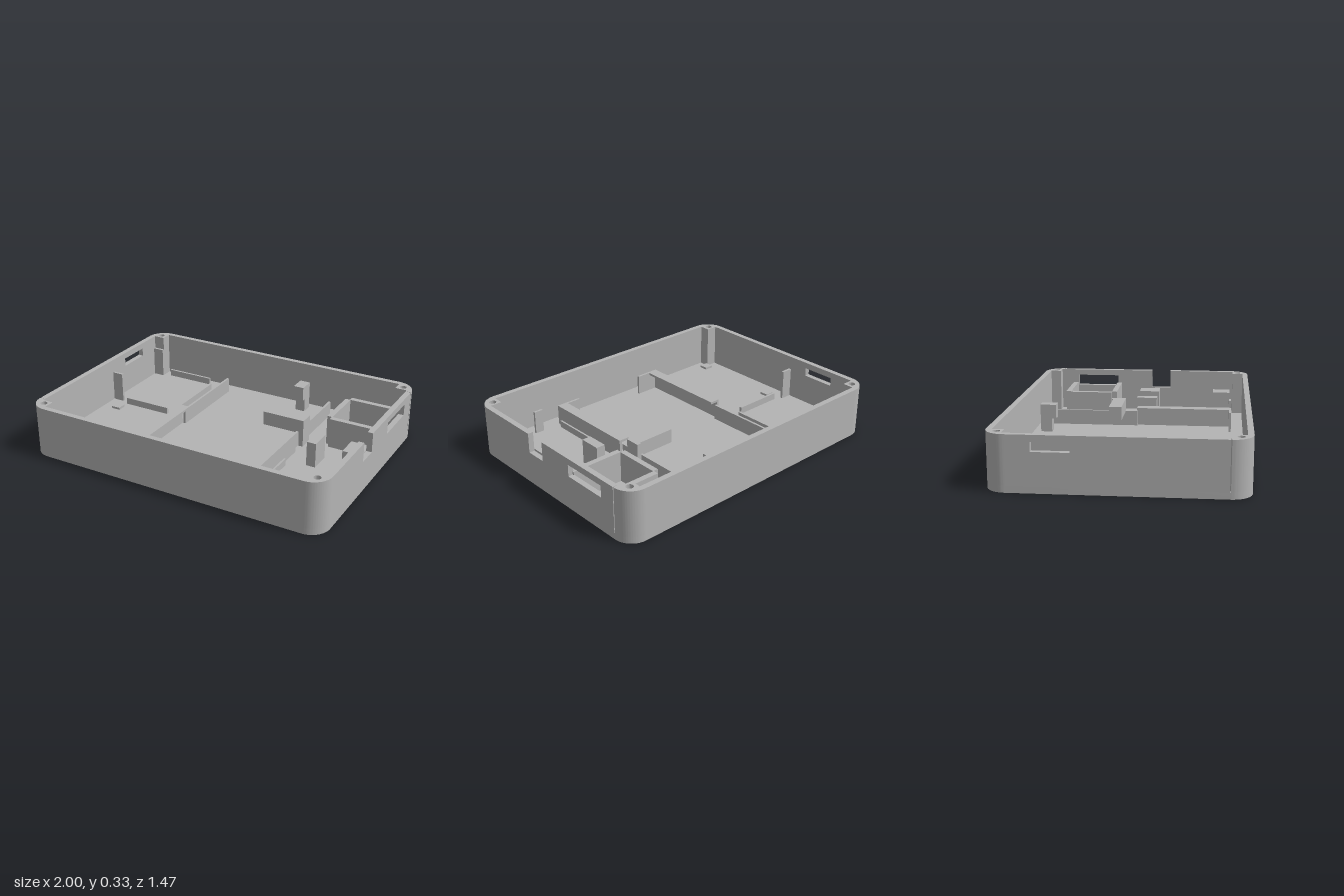
import * as THREE from 'three';
import { toCreasedNormals } from 'three/addons/utils/BufferGeometryUtils.js';

const TOP = 0.33, FLOOR = 0.04, W = 1, D = 0.735, R = 0.12, WALL = 0.035, SEAM = 0.61;

export function createModel() {
  const group = new THREE.Group();
  const grey = new THREE.MeshStandardMaterial({ color: 0xb4b4b4 });
  grey.name = 'grey plastic';

  const add = (name, geometry) => {
    const mesh = new THREE.Mesh(geometry, grey);
    mesh.name = name;
    group.add(mesh);
    return mesh;
  };
  // box given by its limits, standing on the floor unless a base is given
  const block = (name, x0, x1, z0, z1, y1, y0 = FLOOR - 0.005) => {
    const g = new THREE.BoxGeometry(x1 - x0, y1 - y0, z1 - z0);
    g.translate((x0 + x1) / 2, (y0 + y1) / 2, (z0 + z1) / 2);
    return add(name, g);
  };
  // plan outline extruded upwards
  const raise = (shape, y0, y1) => {
    const g = new THREE.ExtrudeGeometry(shape, { depth: y1 - y0, bevelEnabled: false, curveSegments: 14 });
    g.rotateX(-Math.PI / 2).translate(0, y0, 0);
    return toCreasedNormals(g, 0.5);
  };
  const rectPath = (Type, a0, b0, a1, b1) =>
    new Type([[a0, b0], [a1, b0], [a1, b1], [a0, b1]].map(p => new THREE.Vector2(...p)));

  // bottom slab with rounded corners
  const base = new THREE.Shape();
  base.absarc(W - R, D - R, R, 0, Math.PI / 2);
  base.absarc(R - W, D - R, R, Math.PI / 2, Math.PI);
  base.absarc(R - W, R - D, R, Math.PI, Math.PI * 1.5);
  base.absarc(W - R, R - D, R, Math.PI * 1.5, Math.PI * 2);
  base.closePath();
  add('floor', raise(base, 0, FLOOR));

  // end walls with corner posts and screw holes
  const end = new THREE.Shape();
  end.moveTo(W, SEAM);
  end.absarc(W - R, D - R, R, 0, Math.PI / 2);
  end.absarc(R - W, D - R, R, Math.PI / 2, Math.PI);
  const inner = [[-W, SEAM], [WALL - W, SEAM], [WALL - W, 0.63], [-0.89, 0.63], [-0.89, 0.7],
    [0.89, 0.7], [0.89, 0.63], [W - WALL, 0.63], [W - WALL, SEAM]];
  inner.forEach(p => end.lineTo(...p));
  end.closePath();
  for (const s of [-1, 1]) {
    const hole = new THREE.Path();
    hole.absarc(s * 0.93, 0.665, 0.022, 0, Math.PI * 2);
    end.holes.push(hole);
  }
  add('backWall', raise(end, FLOOR, TOP));
  add('frontWall', raise(end, FLOOR, TOP)).rotation.y = Math.PI;

  // side walls, drawn in z and y, with their openings
  const sideWall = (name, shape, xOuter) => {
    const g = new THREE.ExtrudeGeometry(shape, { depth: WALL, bevelEnabled: false });
    g.rotateY(-Math.PI / 2).translate(xOuter, 0, 0);
    add(name, g);
  };
  const left = new THREE.Shape([[-SEAM, FLOOR], [SEAM, FLOOR], [SEAM, TOP], [0.175, TOP], [0.175, 0.205],
    [0.04, 0.205], [0.04, TOP], [-SEAM, TOP]].map(p => new THREE.Vector2(...p)));
  left.holes.push(rectPath(THREE.Path, -0.505, 0.215, -0.21, 0.29));
  sideWall('leftWall', left, W);
  const right = rectPath(THREE.Shape, -SEAM, FLOOR, SEAM, TOP);
  right.holes.push(rectPath(THREE.Path, -0.467, 0.235, -0.25, 0.29));
  sideWall('rightWall', right, WALL - W);

  // small board bay beside the right window
  for (const z of [-0.63, -0.12]) block('bayFin', -0.97, -0.89, z, z + 0.017, 0.24);
  for (const z of [-0.655, -0.092]) block('bayRidge', -0.84, -0.51, z, z + 0.015, 0.085);
  block('bayRidge', -0.465, -0.45, -0.57, -0.125, 0.085);

  // low support pads
  for (const x of [-0.86, -0.41])
    for (const z of [0, 0.612]) block('pad', x - 0.03, x + 0.03, z - 0.03, z + 0.03, 0.055);

  // pair of long rails with flanged holders facing each other
  const rail = (name, xRail, xOut, xIn, xToe) => {
    const span = (part, a, b, ...rest) => block(name + part, Math.min(a, b), Math.max(a, b), ...rest);
    const wall = xOut + Math.sign(xIn - xOut) * 0.016;
    span('Divider', xRail, xRail + 0.015, -0.605, -0.02, 0.14);
    span('HolderWall', xOut, wall, -0.02, 0.62, 0.17);
    span('HolderFlange', wall, xIn, -0.02, 0.62, 0.17, 0.155);
    span('HolderToe', wall, xToe, 0.605, 0.62, 0.17);
  };
  rail('right', -0.342, -0.365, -0.295, -0.2);
  rail('left', 0.443, 0.48, 0.41, 0.315);

  // raised board rests on posts
  block('restBlock', 0.21, 0.28, -0.65, -0.545, 0.225, 0.13);
  block('restPost', 0.215, 0.28, -0.65, -0.575, 0.13);
  block('restBar', 0.21, 0.49, -0.19, -0.105, 0.22, 0.13);
  block('barPost', 0.46, 0.49, -0.2, -0.105, 0.22);

  // socket frame behind the left slot
  block('socketBack', 0.6, 0.635, -0.51, -0.22, 0.235);
  for (const z of [-0.545, -0.22]) block('socketArm', 0.63, 0.97, z, z + 0.035, 0.235);

  // pillars and guides near the left notch
  block('pillar', 0.84, 0.958, -0.04, 0.1, 0.2);
  block('pillar', 0.84, 0.958, 0.49, 0.61, 0.2);
  block('pillar', 0.61, 0.67, -0.04, 0.1, 0.2);
  block('guidePlate', 0.61, 0.67, 0.605, 0.62, 0.19);
  block('guideRidge', 0.83, 0.838, 0.12, 0.48, 0.085);
  block('guideRidge', 0.49, 0.502, 0.16, 0.57, 0.085);

  return group;
}
